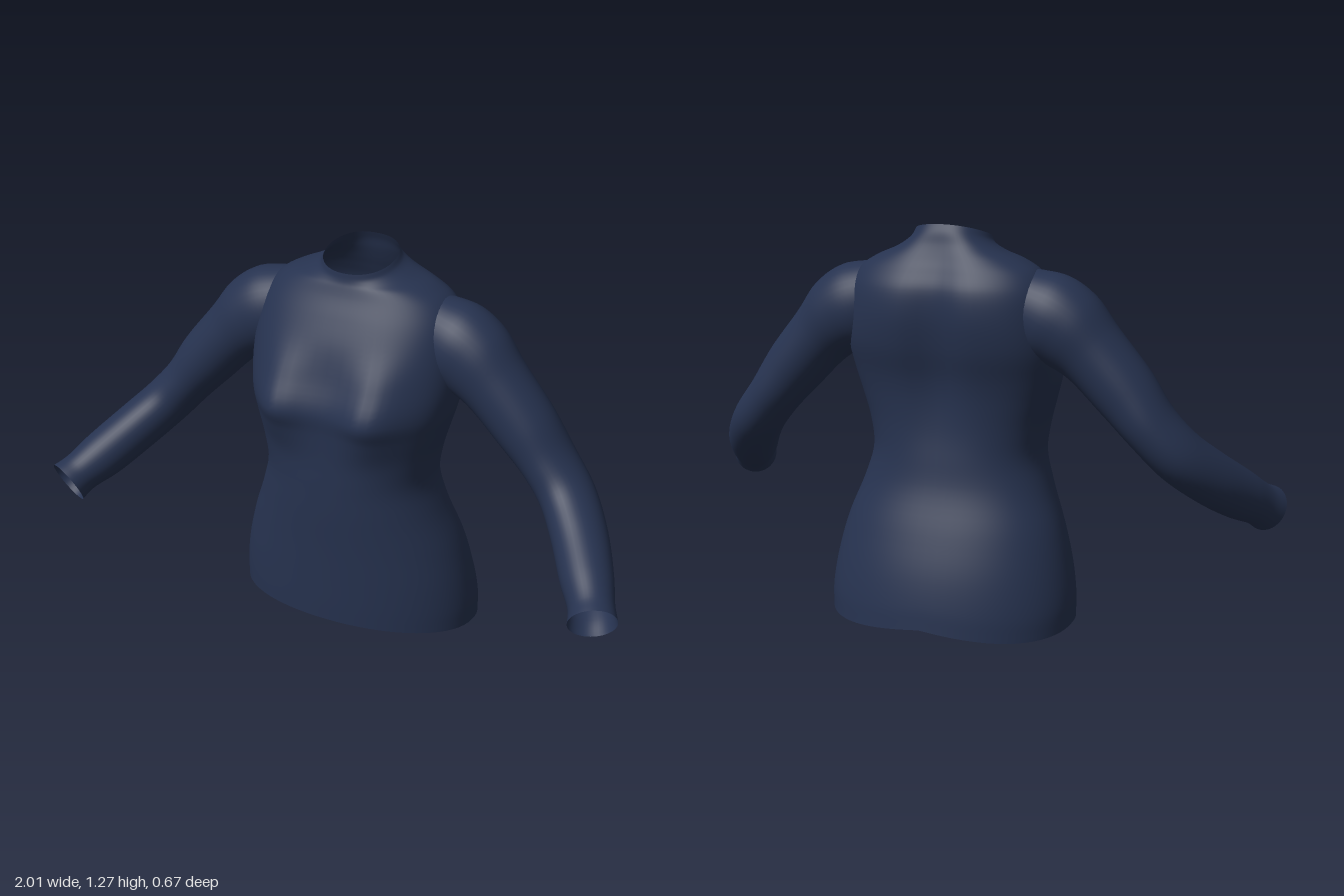
import * as THREE from 'three';

const navy = new THREE.MeshStandardMaterial({ color: 0x26324f, side: THREE.DoubleSide });
navy.name = 'navy fabric';

// Smooth open tube: a spline runs through matching points of the closed rings
function loft(rings, steps) {
  const cols = rings[0].length;
  const pos = [], index = [];
  for (let j = 0; j < cols; j++) {
    const curve = new THREE.CatmullRomCurve3(rings.map((r) => r[j]));
    for (let i = 0; i <= steps; i++) pos.push(...curve.getPoint(i / steps).toArray());
  }
  const row = steps + 1;
  for (let j = 0; j < cols; j++) {
    const k = (j + 1) % cols;
    for (let i = 0; i < steps; i++) {
      const a = j * row + i, b = k * row + i;
      index.push(a, a + 1, b, b, a + 1, b + 1);
    }
  }
  const g = new THREE.BufferGeometry();
  g.setAttribute('position', new THREE.Float32BufferAttribute(pos, 3));
  g.setIndex(index);
  g.computeVertexNormals();
  return g;
}

const bell = (x, centre, width) => Math.exp(-(((x - centre) / width) ** 2));
const { smoothstep } = THREE.MathUtils;

// Torso ring: height, half width, front z, back z, z of the sides
const torsoRows = [
  [0.028, 0.41, 0.19, -0.34, -0.06],
  [0.10, 0.41, 0.193, -0.332, -0.06],
  [0.20, 0.395, 0.196, -0.31, -0.05],
  [0.32, 0.363, 0.20, -0.27, -0.04],
  [0.45, 0.313, 0.206, -0.222, -0.02],
  [0.55, 0.285, 0.208, -0.205, -0.01],
  [0.64, 0.295, 0.208, -0.197, -0.01],
  [0.73, 0.318, 0.21, -0.20, -0.02],
  [0.80, 0.336, 0.212, -0.212, -0.03],
  [0.90, 0.35, 0.18, -0.242, -0.05],
  [1.0, 0.345, 0.147, -0.257, -0.06],
  [1.08, 0.33, 0.108, -0.25, -0.07],
  [1.135, 0.295, 0.078, -0.225, -0.08],
  [1.17, 0.24, 0.064, -0.205, -0.08],
  [1.198, 0.17, 0.058, -0.187, -0.07],
  [1.222, 0.13, 0.055, -0.175, -0.06],
  [1.243, 0.118, 0.053, -0.162, -0.055],
];

function torsoRing([y, w, front, back, mid]) {
  const power = 2 / (2.1 + 0.4 * bell(y, 0.82, 0.3)); // squarer at the chest
  const bust = 0.055 * bell(y, 0.82, 0.12);
  const spine = 0.027 * bell(y, 0.92, 0.3);
  const neckDrop = 0.033 * smoothstep(y, 1.15, 1.243); // collar dips at the front
  const hem = 1 - smoothstep(y, 0, 0.3); // wavy lower edge
  const pts = [], count = 72;
  for (let j = 0; j < count; j++) {
    const a = (j / count) * Math.PI * 2;
    const c = Math.cos(a), s = Math.sin(a);
    const x = w * Math.sign(c) * Math.abs(c) ** power;
    const depth = Math.abs(s) ** power;
    const z = s > 0
      ? mid + (front - mid + bust * bell(Math.abs(x), 0.17, 0.09)) * depth
      : mid + (back - mid + spine * bell(x, 0, 0.075)) * depth;
    const wave = s > 0 ? 0.022 * s : -0.026 * Math.abs(Math.sin(2 * a)) - 0.005 * s;
    pts.push(new THREE.Vector3(x, y - neckDrop * s + hem * wave, z));
  }
  return pts;
}

// Sleeve ring: centre x, y, z, then half height and half depth
const sleeveRows = [
  [0.23, 1.04, -0.075, 0.115, 0.105],
  [0.32, 1.0, -0.07, 0.14, 0.125],
  [0.388, 0.963, -0.066, 0.132, 0.123],
  [0.46, 0.897, -0.06, 0.11, 0.112],
  [0.57, 0.778, -0.055, 0.099, 0.106],
  [0.65, 0.68, -0.05, 0.085, 0.103],
  [0.725, 0.595, -0.022, 0.083, 0.1],
  [0.80, 0.515, 0.06, 0.083, 0.094],
  [0.87, 0.44, 0.17, 0.08, 0.082],
  [0.915, 0.395, 0.245, 0.07, 0.07],
  [0.935, 0.372, 0.287, 0.075, 0.074],
];

// Rings stand across the arm's path; side = -1 mirrors them
function sleeveRings(side) {
  const centres = sleeveRows.map(([x, y, z]) => new THREE.Vector3(x, y, z));
  return sleeveRows.map(([, , , h, d], i) => {
    const along = centres[Math.min(i + 1, centres.length - 1)].clone()
      .sub(centres[Math.max(i - 1, 0)]).normalize();
    const across = new THREE.Vector3(0, 0, 1).addScaledVector(along, -along.z).normalize();
    const up = new THREE.Vector3().crossVectors(across, along);
    const pts = [];
    for (let j = 0; j < 40; j++) {
      const a = (j / 40) * Math.PI * 2;
      const p = centres[i].clone()
        .addScaledVector(up, h * Math.cos(a))
        .addScaledVector(across, d * Math.sin(a));
      p.x *= side;
      pts.push(p);
    }
    return side > 0 ? pts.reverse() : pts;
  });
}

export function createModel() {
  const group = new THREE.Group();
  group.name = 'longSleevedTop';
  const add = (name, geometry) => {
    const mesh = new THREE.Mesh(geometry, navy);
    mesh.name = name;
    group.add(mesh);
  };
  add('torso', loft(torsoRows.map(torsoRing), 80));
  add('leftSleeve', loft(sleeveRings(1), 60));
  add('rightSleeve', loft(sleeveRings(-1), 60));
  return group;
}
